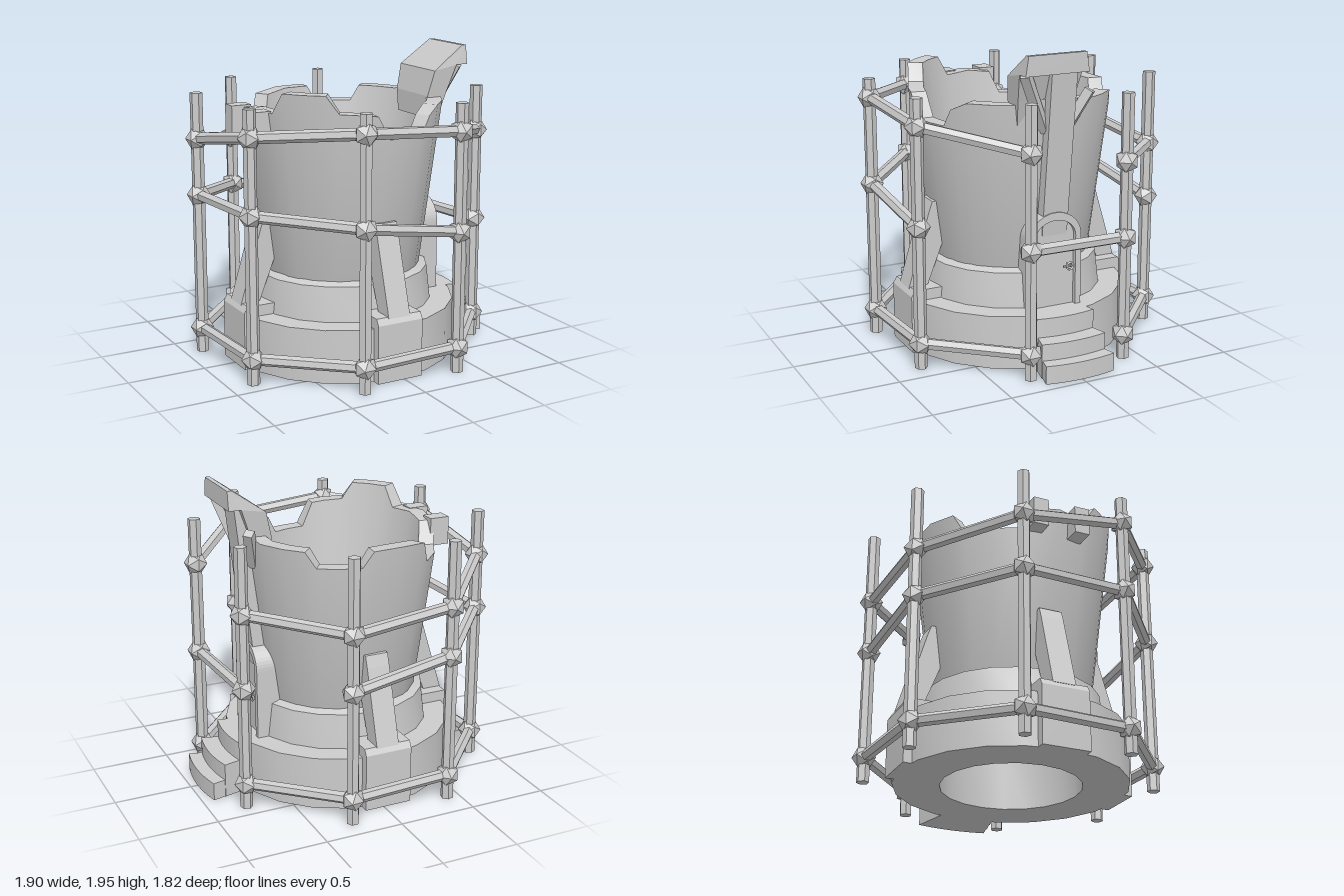
import * as THREE from 'three';
import { toCreasedNormals } from 'three/addons/utils/BufferGeometryUtils.js';

const smooth = new THREE.MeshStandardMaterial({ color: 0xcccccc });
const flat = new THREE.MeshStandardMaterial({ color: 0xcccccc, flatShading: true });
const CX = -0.03; // tower axis

const V = (x, y, z) => new THREE.Vector3(x, y, z);
const rad = THREE.MathUtils.degToRad;

function add(parent, name, geometry, material = flat, x = 0, y = 0, z = 0) {
  const mesh = new THREE.Mesh(geometry, material);
  mesh.name = name;
  mesh.position.set(x, y, z);
  parent.add(mesh);
  return mesh;
}

// Prism running from point a to point b
function bar(parent, name, a, b, radius, sides = 6) {
  const d = b.clone().sub(a);
  const mesh = add(parent, name, new THREE.CylinderGeometry(radius, radius, d.length(), sides));
  mesh.position.copy(a).add(b).multiplyScalar(0.5);
  mesh.quaternion.setFromUnitVectors(V(0, 1, 0), d.normalize());
  return mesh;
}

// Profile in (outward, up), extruded sideways and centred
function slab(points, width) {
  const shape = new THREE.Shape(points.map(p => new THREE.Vector2(...p)));
  return new THREE.ExtrudeGeometry(shape, { depth: width, bevelEnabled: false }).translate(0, 0, -width / 2);
}

function lathe(points) {
  const g = new THREE.LatheGeometry(points.map(p => new THREE.Vector2(...p)), 20);
  return toCreasedNormals(g, 0.5);
}

// Broken rim: [angle in degrees from +x towards +z, height]
const RIM = [
  [-20, 1.63], [-35, 1.63], [-48, 1.63], [-54, 1.53], [-66, 1.53], [-79, 1.53], [-85, 1.63], [-103, 1.63],
  [-121, 1.61], [-128, 1.47], [-145, 1.47], [-161, 1.47], [-168, 1.61], [-184, 1.63], [-202, 1.62],
  [-210, 1.75], [-222, 1.75], [-234, 1.75], [-241, 1.64], [-254, 1.63], [-262, 1.62], [-270, 1.47],
  [-282, 1.47], [-294, 1.47], [-300, 1.58], [-310, 1.63], [-324, 1.63], [-338, 1.63], [-350, 1.66], [-365, 1.66]
].reverse();

function wallGeometry() {
  const pos = [], idx = [], n = RIM.length, m = 4;
  for (const [deg, h] of RIM) {
    const a = rad(deg);
    const outer = 0.51 + 0.127 * (h - 0.58), inner = 0.38 + 0.125 * (h - 0.3);
    for (const [r, y] of [[0.38, 0.3], [0.51, 0.58], [outer, h], [inner, h]]) {
      pos.push(r * Math.cos(a), y, r * Math.sin(a));
    }
  }
  for (let i = 0; i < n; i++) for (let j = 0; j < m; j++) {
    const i2 = (i + 1) % n, j2 = (j + 1) % m;
    const a = i * m + j, b = i * m + j2, c = i2 * m + j, d = i2 * m + j2;
    idx.push(a, b, c, b, d, c);
  }
  const g = new THREE.BufferGeometry();
  g.setAttribute('position', new THREE.Float32BufferAttribute(pos, 3));
  g.setIndex(idx);
  return toCreasedNormals(g, 0.5);
}

function archShape(w, y0, y1, arch) {
  const s = new THREE.Shape();
  s.moveTo(-w, y0);
  s.lineTo(w, y0);
  s.lineTo(w, y1);
  s.absellipse(0, y1, w, arch, 0, Math.PI, false);
  s.closePath();
  return s;
}

// Step: a ring sector facing +x
function stepGeometry(radius, height, half) {
  const s = new THREE.Shape();
  s.absarc(0, 0, radius, -half, half, false);
  s.absarc(0, 0, 0.6, half, -half, true);
  s.closePath();
  return new THREE.ExtrudeGeometry(s, { depth: height, bevelEnabled: false, curveSegments: 4 }).rotateX(-Math.PI / 2);
}

function buildTower() {
  const tower = new THREE.Group();
  tower.name = 'tower';
  tower.position.x = CX;
  add(tower, 'base', lathe([[0.44, 0], [0.73, 0], [0.73, 0.34], [0.44, 0.34], [0.44, 0]]), smooth);
  add(tower, 'collar', lathe([[0.44, 0.33], [0.585, 0.34], [0.56, 0.56], [0.5, 0.585]]), smooth);
  add(tower, 'wall', wallGeometry(), smooth);

  // Buttresses on the front, back and right-hand side
  for (const deg of [90, -90, 180]) {
    const buttress = new THREE.Group();
    buttress.name = 'buttress';
    buttress.rotation.y = -rad(deg);
    tower.add(buttress);
    add(buttress, 'buttressFoot', slab([[0.5, 0], [0.76, 0], [0.76, 0.37], [0.735, 0.41], [0.5, 0.41]], 0.31));
    add(buttress, 'buttressBar', slab([[0.62, 0.4], [0.745, 0.4], [0.6, 0.88], [0.575, 0.95], [0.5, 0.95], [0.5, 0.7]], 0.15));
  }

  // Broken brackets by the rim
  for (const z of [-0.12, 0.16]) {
    add(tower, 'rimBracket', new THREE.BoxGeometry(0.13, 0.18, 0.1), flat, -0.65, 1.54, z);
  }
  return tower;
}

function buildEntrance() {
  const entrance = new THREE.Group();
  entrance.name = 'entrance';
  [[0.79, 0.34], [0.9, 0.22], [0.985, 0.115]].forEach(([r, h], i) =>
    add(entrance, 'step', stepGeometry(r, h, 0.25 - 0.005 * i), flat, CX));

  // Arched frame with a recessed door
  const frame = archShape(0.178, 0.33, 0.79, 0.16);
  frame.holes.push(archShape(0.14, 0.34, 0.79, 0.11));
  add(entrance, 'doorFrame', new THREE.ExtrudeGeometry(frame, { depth: 0.2, bevelEnabled: false })
    .rotateY(Math.PI / 2), flat, 0.4);
  add(entrance, 'door', new THREE.ExtrudeGeometry(archShape(0.15, 0.33, 0.79, 0.12), { depth: 0.17, bevelEnabled: false })
    .rotateY(Math.PI / 2), flat, 0.4);
  add(entrance, 'doorRing', new THREE.TorusGeometry(0.022, 0.007, 6, 14).rotateY(Math.PI / 2), smooth, 0.605, 0.595, -0.1);
  bar(entrance, 'doorHandle', V(0.61, 0.6, -0.05), V(0.61, 0.6, -0.1), 0.008);
  bar(entrance, 'handlePin', V(0.56, 0.6, -0.1), V(0.62, 0.6, -0.1), 0.008);

  // Leaning pillar and the flared lip it carries
  add(entrance, 'pillar', slab([[0.44, 0.8], [0.575, 0.8], [0.69, 1.84], [0.6, 1.84]], 0.17), flat, 0, 0, -0.005);
  const lip = slab([[0.46, 1.5], [0.55, 1.5], [0.6, 1.66], [0.66, 1.83], [0.74, 1.83], [0.74, 1.95], [0.71, 1.95], [0.5, 1.8], [0.46, 1.64]], 0.42);
  const p = lip.attributes.position;
  for (let i = 0; i < p.count; i++) {
    const y = p.getY(i);
    p.setZ(i, p.getZ(i) * (y > 1.9 ? 0.91 : Math.min(1, 0.8 + (y - 1.5) * 0.6)) + 0.07);
  }
  lip.computeVertexNormals();
  add(entrance, 'lip', lip);
  bar(entrance, 'brace', V(0.57, 1.46, 0.07), V(0.68, 1.83, 0.25), 0.04, 4);
  bar(entrance, 'brace', V(0.57, 1.46, -0.08), V(0.64, 1.7, -0.2), 0.04, 4);
  return entrance;
}

// Scaffold poles, listed round from the entrance: x, z, heights of the middle and top joints
const POLES = [
  [0.815, 0.28, 0.81, 1.40], [0.357, 0.8, 0.9, 1.52], [-0.32, 0.835, 1.01, 1.57], [-0.84, 0.385, 1.05, 1.52],
  [-0.88, -0.305, 1.04, 1.40], [-0.42, -0.81, 0.96, 1.28], [0.262, -0.855, 0.86, 1.22], [0.77, -0.39, 0.79, 1.27]
];

function buildScaffold() {
  const scaffold = new THREE.Group();
  scaffold.name = 'scaffold';
  const joint = (i, level) => {
    const [x, z, mid, top] = POLES[i];
    return V(x, [0.16, mid, top][level], z);
  };
  POLES.forEach(([x, z], i) => {
    bar(scaffold, 'pole', V(x, 0, z), V(x, 1.69, z), 0.04).rotation.y = i * Math.PI / 4;
    const next = (i + 1) % POLES.length;
    for (let level = 0; level < 3; level++) {
      const node = add(scaffold, 'joint', new THREE.IcosahedronGeometry(0.075));
      node.position.copy(joint(i, level));
      node.rotation.y = i * 0.8;
      // Gaps: the entrance is open except at mid height, beside it the middle rail is missing
      const missing = level === 1 ? i === 0 || i === 6 : i === 7;
      if (!missing) bar(scaffold, 'rail', joint(i, level), joint(next, level), 0.037);
    }
  });
  return scaffold;
}

export function createModel() {
  const model = new THREE.Group();
  model.name = 'ruinedTower';
  model.add(buildTower(), buildEntrance(), buildScaffold());
  return model;
}
